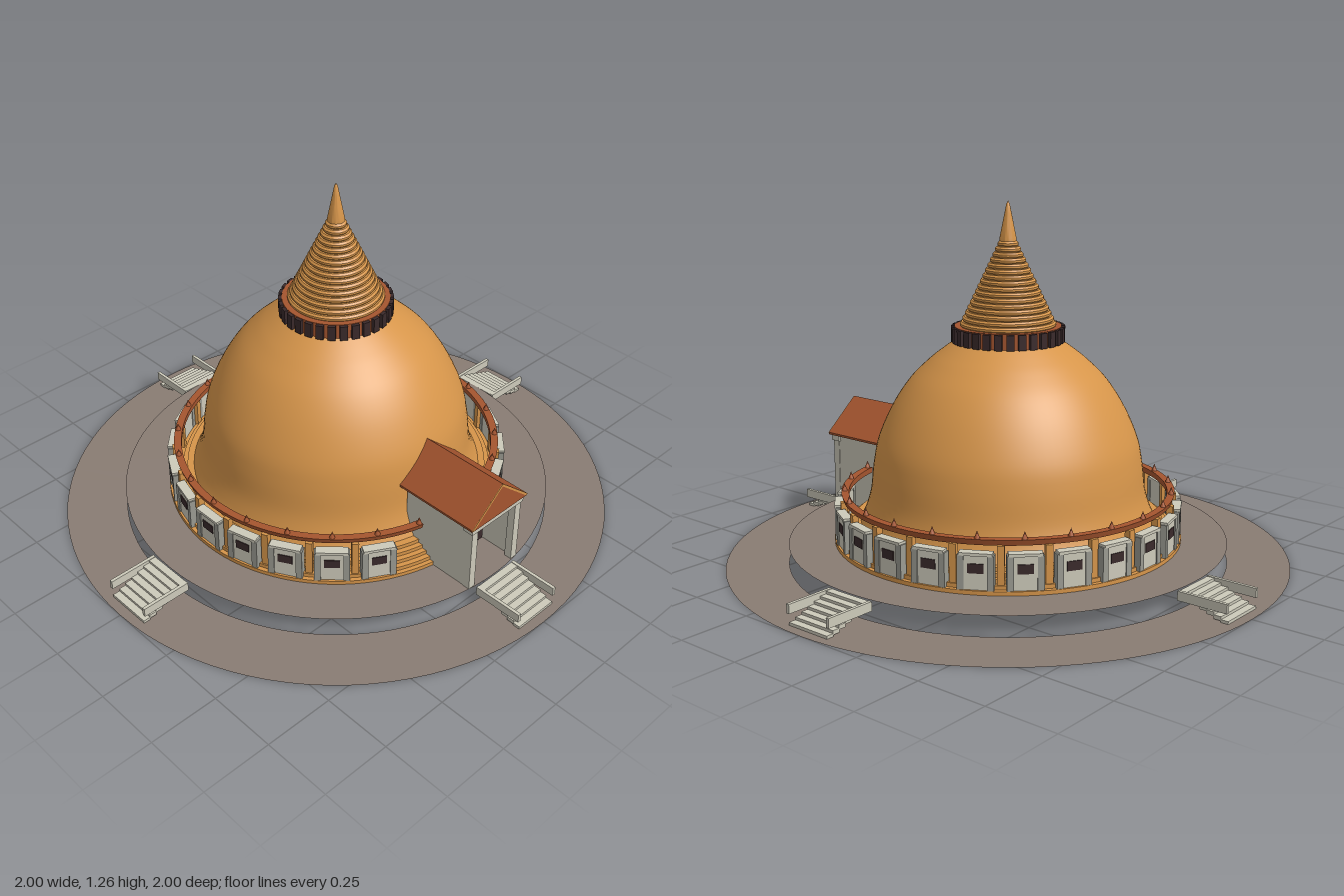
import * as THREE from 'three';
import { toCreasedNormals } from 'three/addons/utils/BufferGeometryUtils.js';

const mat = (name, color, side = THREE.FrontSide) => {
  const m = new THREE.MeshStandardMaterial({ color, side });
  m.name = name;
  return m;
};

export function createModel() {
  const ochre = mat('ochre plaster', 0xd6954a, THREE.DoubleSide);
  const brick = mat('brick red', 0xa5552f, THREE.DoubleSide);
  const stone = mat('pale stone', 0xcdcaba);
  const grey = mat('grey stone', 0x9b9b92);
  const paving = mat('paving', 0x897c73, THREE.DoubleSide);
  const dark = mat('dark wood', 0x3a2a2b);

  const root = new THREE.Group();
  root.name = 'stupa';

  const add = (parent, name, geometry, material, x = 0, y = 0, z = 0) => {
    const m = new THREE.Mesh(geometry, material);
    m.name = name;
    m.position.set(x, y, z);
    parent.add(m);
    return m;
  };
  // Box given by its x, y and z ranges
  const box = (parent, name, material, [x0, x1], [y0, y1], [z0, z1]) =>
    add(parent, name, new THREE.BoxGeometry(x1 - x0, y1 - y0, z1 - z0), material,
      (x0 + x1) / 2, (y0 + y1) / 2, (z0 + z1) / 2);
  const lathe = (pts, start = 0, length = Math.PI * 2, segs = 96) =>
    toCreasedNormals(new THREE.LatheGeometry(
      pts.map(([r, y]) => new THREE.Vector2(r, y)), segs, start, length), 0.5);
  // Group turned about the axis; angle 0 is the front
  const spoke = (name, degrees) => {
    const g = new THREE.Group();
    g.name = name;
    g.rotation.y = THREE.MathUtils.degToRad(degrees);
    root.add(g);
    return g;
  };
  const prism = (pts, depth) => new THREE.ExtrudeGeometry(
    new THREE.Shape(pts.map(([x, y]) => new THREE.Vector2(x, y))), { depth, bevelEnabled: false });

  // Ground ring and raised terrace
  add(root, 'groundRing', new THREE.RingGeometry(0.78, 1, 96).rotateX(-Math.PI / 2), paving);
  add(root, 'terrace', new THREE.RingGeometry(0.615, 0.78, 96).rotateX(-Math.PI / 2), paving, 0, 0.07);

  // Stepped base, then the bell-shaped dome
  const base = [];
  [0.618, 0.603, 0.585, 0.567, 0.549].forEach((r, i) =>
    base.push([r, 0.07 + i * 0.014], [r, 0.084 + i * 0.014]));
  add(root, 'steppedBase', lathe([...base, [0.525, 0.14]]), ochre);
  const domeCurve = new THREE.SplineCurve([
    [0.525, 0.14], [0.505, 0.185], [0.487, 0.25], [0.475, 0.35], [0.455, 0.44], [0.405, 0.55],
    [0.345, 0.64], [0.28, 0.705], [0.23, 0.745], [0.185, 0.777],
  ].map(([r, y]) => new THREE.Vector2(r, y)));
  add(root, 'dome', new THREE.LatheGeometry(domeCurve.getPoints(40), 96), ochre);

  // Railed collar
  add(root, 'collarCore', new THREE.CylinderGeometry(0.187, 0.187, 0.055, 64), brick, 0, 0.8025);
  for (let i = 0; i < 30; i++) {
    box(spoke('collarPost', i * 12), 'post', dark, [-0.013, 0.013], [0.775, 0.828], [0.17, 0.199]);
  }

  // Ringed spire with a slender finial
  const spire = [];
  const rings = 16;
  for (let i = 0; i < rings; i++) {
    const r = 0.168 - (0.132 * i) / (rings - 1);
    const y = 0.828 + i * 0.0185;
    spire.push([r - 0.004, y], [r, y + 0.005], [r, y + 0.012], [r - 0.006, y + 0.0185]);
  }
  spire.push([0.029, 1.135], [0.02, 1.18], [0.012, 1.22], [0.006, 1.25], [0, 1.262]);
  add(root, 'spire', lathe(spire, 0, Math.PI * 2, 64), ochre);

  // Cornice ring, open at the porch
  const a0 = THREE.MathUtils.degToRad(14);
  add(root, 'cornice', lathe([[0.565, 0.226], [0.586, 0.226], [0.592, 0.246], [0.565, 0.246], [0.565, 0.226]],
    a0, Math.PI * 2 - 2 * a0), brick);
  for (let a = 15; a <= 345; a += 15) {
    add(spoke('corniceSpike', a), 'spike', new THREE.ConeGeometry(0.011, 0.028, 8), brick, 0, 0.258, 0.58);
  }

  // Panels with slit windows around the base, and posts between them
  for (let a = 30; a <= 330; a += 15) {
    const g = spoke('wallPanel', a);
    add(g, 'panelBody', prism([[-0.05, 0.082], [0.05, 0.082], [0.042, 0.2], [-0.042, 0.2]], 0.025),
      stone, 0, 0, 0.585);
    for (const s of [-1, 1]) {
      const x = s * 0.049;
      box(g, 'panelPillar', grey, [x - 0.011, x + 0.011], [0.08, 0.2], [0.583, 0.614]);
    }
    box(g, 'panelCap', stone, [-0.055, 0.055], [0.198, 0.208], [0.583, 0.616]);
    box(g, 'panelWindow', dark, [-0.026, 0.026], [0.14, 0.172], [0.609, 0.613]);
    if (a < 330) {
      box(spoke('wallPost', a + 7.5), 'post', ochre, [-0.012, 0.012], [0.08, 0.228], [0.575, 0.598]);
    }
  }

  // Four stairways
  for (let a = 0; a < 360; a += 90) {
    const g = spoke('stairway', a);
    const n = 7;
    for (let i = 0; i < n; i++) {
      const z = 0.782 + i * 0.026;
      const y = 0.068 - i * 0.0095;
      box(g, 'tread', stone, [-0.086, 0.086], [Math.max(0.001, y - 0.014), y], [z, z + 0.027]);
    }
    for (const s of [-1, 1]) {
      const x = s * 0.09;
      box(g, 'stairRail', stone, [x - 0.006, x + 0.006], [0.038, 0.07], [0.782, 0.965]);
    }
  }

  // Entrance porch
  const porch = new THREE.Group();
  porch.name = 'porch';
  root.add(porch);
  for (const s of [-1, 1]) {
    const x = s * 0.114;
    box(porch, 'sideWall', stone, [x - 0.006, x + 0.006], [0.07, 0.338], [0.475, 0.76]);
    box(porch, 'frontPillar', stone, [s * 0.108 - 0.014, s * 0.108 + 0.014], [0.07, 0.315], [0.742, 0.77]);
    box(porch, 'doorJamb', brick, [s * 0.076 - 0.016, s * 0.076 + 0.016], [0.085, 0.31], [0.615, 0.635]);
    box(porch, 'jambFoot', dark, [s * 0.076 - 0.018, s * 0.076 + 0.018], [0.085, 0.125], [0.613, 0.64]);
  }
  box(porch, 'lintel', stone, [-0.128, 0.128], [0.312, 0.338], [0.735, 0.774]);
  box(porch, 'backWall', ochre, [-0.108, 0.108], [0.07, 0.335], [0.6, 0.615]);
  add(porch, 'door', prism([[-0.052, 0.085], [0.052, 0.085], [0.052, 0.285], [0, 0.318], [-0.052, 0.285]], 0.009),
    stone, 0, 0, 0.616);
  add(porch, 'gableRoof', prism([[-0.138, 0.335], [0.138, 0.335], [0.138, 0.343], [0, 0.462], [-0.138, 0.343]], 0.355),
    brick, 0, 0, 0.425);
  // Thin trim along the gable edge
  for (const s of [-1, 1]) {
    const trim = add(porch, 'gableTrim', new THREE.BoxGeometry(0.18, 0.008, 0.008), ochre, s * 0.068, 0.398, 0.778);
    trim.rotation.z = -s * Math.atan2(0.119, 0.138);
  }
  return root;
}
